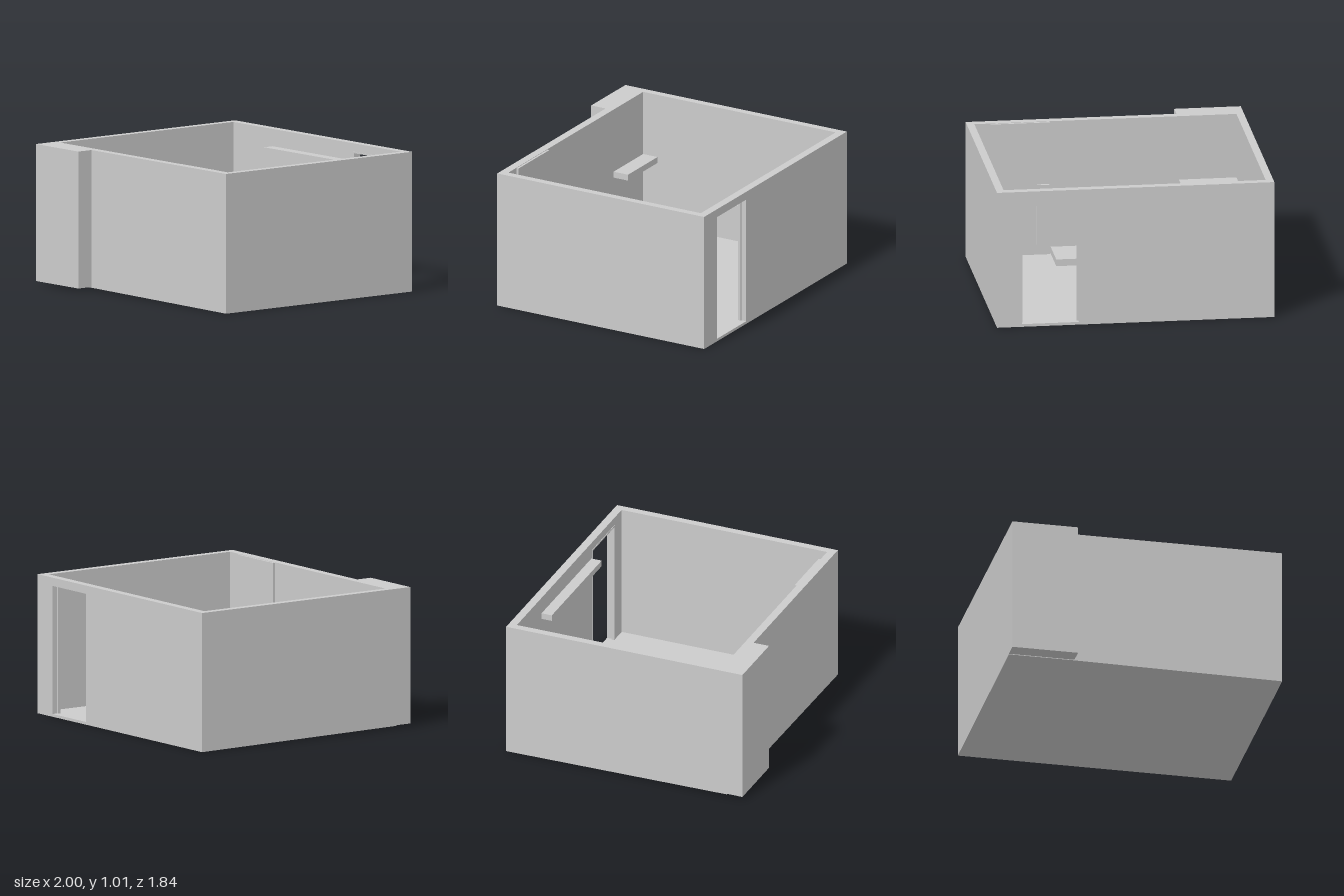
import * as THREE from 'three';

const material = new THREE.MeshStandardMaterial({ color: 0xcccccc, flatShading: true });

// Extrude a floor plan given as [x, z] corners from y0 up to y1
function plan(name, points, y0, y1) {
  const shape = new THREE.Shape(points.map(([x, z]) => new THREE.Vector2(x, -z)));
  const geometry = new THREE.ExtrudeGeometry(shape, { depth: y1 - y0, bevelEnabled: false });
  geometry.rotateX(-Math.PI / 2).translate(0, y0, 0);
  const mesh = new THREE.Mesh(geometry, material);
  mesh.name = name;
  return mesh;
}

// Box given by its extents on each axis
function block(name, [x0, x1], [y0, y1], [z0, z1]) {
  const mesh = new THREE.Mesh(new THREE.BoxGeometry(x1 - x0, y1 - y0, z1 - z0), material);
  mesh.position.set((x0 + x1) / 2, (y0 + y1) / 2, (z0 + z1) / 2);
  mesh.name = name;
  return mesh;
}

function tube(name, points, radius) {
  const curve = new THREE.CatmullRomCurve3(points.map((p) => new THREE.Vector3(...p)));
  const mesh = new THREE.Mesh(new THREE.TubeGeometry(curve, 20, radius, 6, false), material);
  mesh.name = name;
  return mesh;
}

export function createModel() {
  const room = new THREE.Group();
  room.name = 'room';
  const top = 1.01, floorTop = 0.02, doorTop = 0.95;
  const back = -0.92, front = 0.8, bay = 0.92;
  const inBack = -0.86, inFront = 0.74, inSide = 0.945;
  const door = [0.41, 0.82];

  // Floor slab: the underside rises slightly towards the front right corner
  const floor = plan('floor', [[-1, back], [1, back], [1, front], [-0.52, front], [-1, front]], 0, floorTop);
  const pos = floor.geometry.attributes.position;
  for (let i = 0; i < pos.count; i++) {
    if (pos.getY(i) > 0.001) continue;
    const across = THREE.MathUtils.clamp((0.9 - pos.getX(i)) / 1.4, 0, 1);
    pos.setY(i, 0.015 * across * (pos.getZ(i) - back) / (front - back));
  }
  floor.geometry.computeVertexNormals();
  room.add(floor);

  // Walls as one plan, open at the doorway, with the projecting bay at the front
  room.add(plan('walls', [
    [door[1], back], [1, back], [1, front], [-0.52, front], [-0.52, bay], [-1, bay], [-1, back], [door[0], back],
    [door[0], inBack], [-inSide, inBack], [-inSide, inFront], [inSide, inFront], [inSide, inBack], [door[1], inBack],
  ], floorTop, top));
  room.add(block('doorLintel', door, [doorTop, top], [back, inBack]));

  // Thin door frame
  const frame = new THREE.Group();
  frame.name = 'doorFrame';
  const depth = [inBack - 0.02, inBack + 0.004];
  frame.add(
    block('leftJamb', [door[1] - 0.01, door[1]], [floorTop, doorTop], depth),
    block('rightJamb', [door[0], door[0] + 0.01], [floorTop, doorTop], depth),
    block('headJamb', [door[0] + 0.01, door[1] - 0.01], [doorTop - 0.01, doorTop], depth),
  );
  room.add(frame);

  // Shelves on the back and front walls
  room.add(
    block('highShelf', [-0.5, 0.4], [0.84, 0.885], [inBack, -0.78]),
    block('lowShelf', [-inSide, -0.5], [0.49, 0.535], [inBack, -0.73]),
    block('frontShelf', [-inSide, -0.53], [0.49, 0.535], [0.62, inFront]),
  );

  // Low platform against the front wall
  room.add(plan('platform', [[-0.52, 0.43], [0.395, 0.43], [0.395, inFront], [-0.53, inFront]], floorTop, 0.07));

  // Wall panel with its fittings
  room.add(block('wallPanel', [0.4, 0.83], [floorTop, top - 0.003], [0.723, inFront]));
  const fittings = new THREE.Group();
  fittings.name = 'panelFittings';
  fittings.add(
    block('fittingBody', [0.41, 0.5], [0.51, 0.55], [0.69, 0.71]),
    block('fittingMount', [0.41, 0.44], [0.515, 0.545], [0.71, 0.723]),
    block('fittingLever', [0.49, 0.5], [0.39, 0.48], [0.695, 0.705]),
    tube('supplyPipe', [[0.495, 0.51, 0.715], [0.495, 0.3, 0.717], [0.495, 0.1, 0.717]], 0.004),
    tube('longPipe', [[0.74, 0.51, 0.717], [0.71, 0.36, 0.715], [0.705, 0.1, 0.717]], 0.004),
    block('shortHandle', [0.74, 0.75], [0.28, 0.41], [0.714, 0.723]),
  );
  room.add(fittings);
  return room;
}
